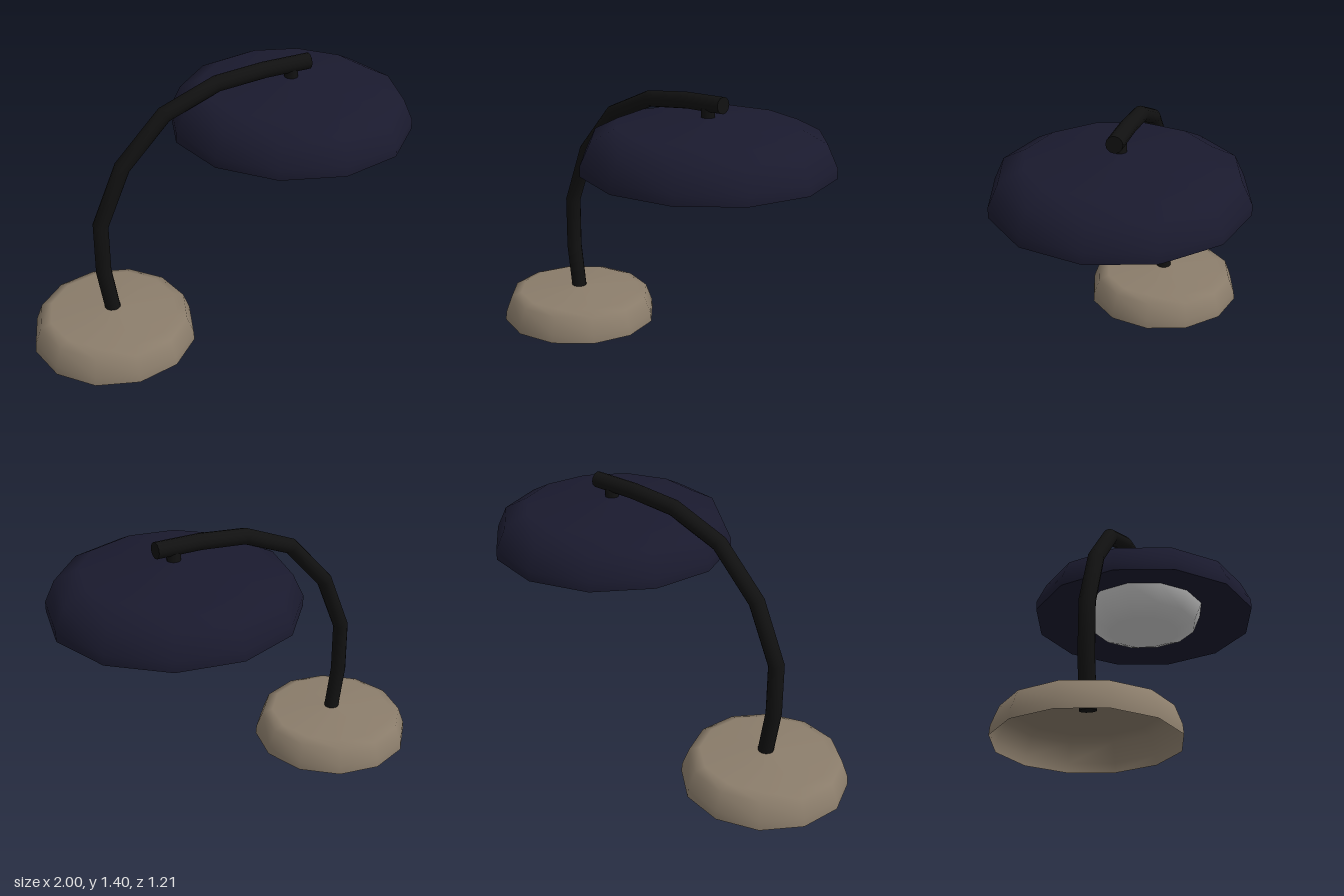
import * as THREE from 'three';

const ARM_RADIUS = 0.04;
const SIDES = 12;

const mat = (color) => new THREE.MeshStandardMaterial({ color, side: THREE.DoubleSide });
const v2 = ([x, y]) => new THREE.Vector2(x, y);

// Bent path whose tube rings sit exactly at the listed joints
class JointedPath extends THREE.Curve {
  constructor(points) {
    super();
    this.points = points.map(([x, y]) => new THREE.Vector3(x, y, 0));
  }
  index(u) {
    return Math.round(u * (this.points.length - 1));
  }
  getPointAt(u, target = new THREE.Vector3()) {
    return target.copy(this.points[this.index(u)]);
  }
  getTangentAt(u, target = new THREE.Vector3()) {
    const i = this.index(u), p = this.points;
    const a = p[Math.max(i - 1, 0)], b = p[i], c = p[Math.min(i + 1, p.length - 1)];
    target.copy(b).sub(a).normalize();
    return target.add(c.clone().sub(b).normalize()).normalize();
  }
}

export function createModel() {
  const lamp = new THREE.Group();
  lamp.name = 'deskLamp';

  const tan = mat(0x8b7d6b), black = mat(0x111111), navy = mat(0x1a1a2e), grey = mat(0xcccccc);

  const add = (name, geometry, material, x = 0, y = 0) => {
    const mesh = new THREE.Mesh(geometry, material);
    mesh.name = name;
    mesh.position.set(x, y, 0);
    lamp.add(mesh);
    return mesh;
  };
  const turned = (name, profile, material, x) =>
    add(name, new THREE.LatheGeometry(profile.map(v2), SIDES), material, x);

  // Hollow base, open underneath
  turned('base', [[0.423, 0], [0.419, 0.045], [0.385, 0.135], [0.33, 0.155], [0, 0.175]], tan, -0.577);

  // Curved arm with closed ends
  const path = new JointedPath([
    [-0.577, 0.15], [-0.615, 0.4], [-0.615, 0.67], [-0.49, 0.97],
    [-0.27, 1.21], [0, 1.325], [0.25, 1.355], [0.487, 1.365],
  ]);
  add('arm', new THREE.TubeGeometry(path, path.points.length - 1, ARM_RADIUS, 12), black);
  for (const [name, u, sign] of [['armFoot', 0, -1], ['armTip', 1, 1]]) {
    const p = path.getPointAt(u);
    const cap = add(name, new THREE.CircleGeometry(ARM_RADIUS, 12), black, p.x, p.y);
    cap.quaternion.setFromUnitVectors(
      new THREE.Vector3(0, 0, 1), path.getTangentAt(u).multiplyScalar(sign));
  }

  // Short stem from arm to shade
  add('stem', new THREE.CylinderGeometry(0.034, 0.034, 0.08, 12), black, 0.393, 1.31);

  // Shade, its underside and the shallow diffuser bowl
  turned('shade', [[0.606, 1.05], [0.605, 1.1], [0.555, 1.207], [0.44, 1.265], [0, 1.3]], navy, 0.394);
  turned('shadeUnderside', [[0.33, 1.12], [0.606, 1.05]], navy, 0.394);
  turned('diffuser', [[0, 0.976], [0.19, 0.978], [0.29, 1.02], [0.33, 1.12]], grey, 0.394);

  return lamp;
}
